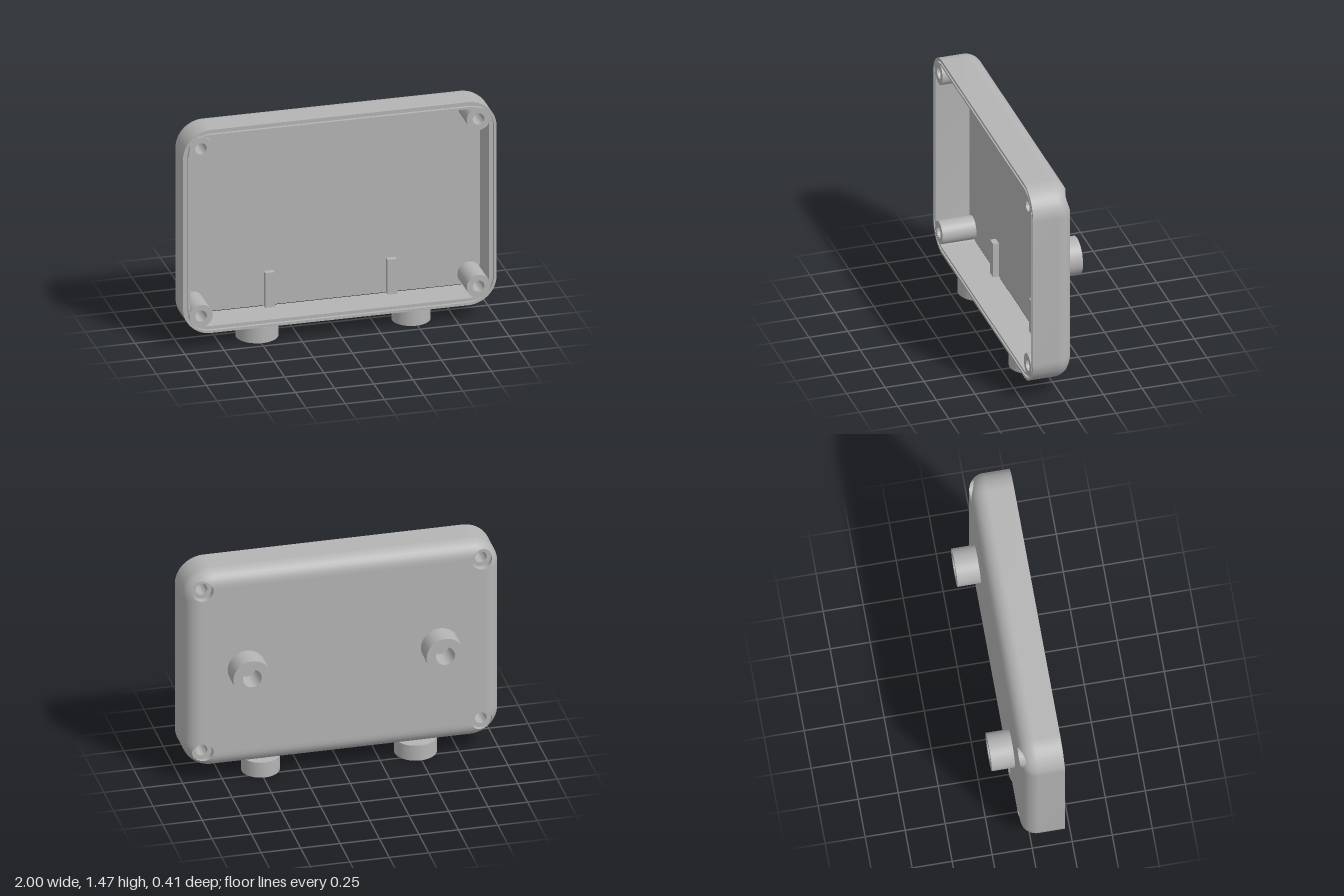
import * as THREE from 'three';
import { toCreasedNormals } from 'three/addons/utils/BufferGeometryUtils.js';

const W = 1, H = 0.68, R = 0.18;            // half width, half height, corner radius
const BACK = -0.06, RIM = 0.205, F = 0.1;   // back plane, rim plane, back edge fillet
const FLOOR = -0.015, BX = 0.885, BY = 0.56; // inner floor, screw boss centres
const PX = 0.78, PY = 0.455;                // where the corner patches begin
const N = 12;
const ease = i => Math.sin(Math.PI * i / (2 * N));

// point and normal of the filleted back skin at x, y
function skin(x, y) {
  const qx = Math.abs(x) - (W - R), qy = Math.abs(y) - (H - R);
  const ox = Math.max(qx, 0), oy = Math.max(qy, 0), len = Math.hypot(ox, oy);
  const inset = R - len - Math.min(Math.max(qx, qy), 0);
  const k = THREE.MathUtils.clamp((F - inset) / F, 0, 1), c = Math.sqrt(1 - k * k);
  const gx = len ? ox / len * Math.sign(x) : 0, gy = len ? oy / len * Math.sign(y) : 0;
  return [x, y, BACK + F * (1 - c), gx * k, gy * k, -c];
}

// grid surface; fn(i, j) gives position and normal, which also sets the winding
function grid(nu, nv, fn) {
  const pos = [], nor = [], index = [];
  for (let i = 0; i <= nu; i++) for (let j = 0; j <= nv; j++) {
    const p = fn(i, j);
    pos.push(p[0], p[1], p[2]);
    nor.push(p[3], p[4], p[5]);
  }
  const at = (arr, k) => new THREE.Vector3().fromArray(arr, k * 3);
  const tri = (a, b, c) => {
    const A = at(pos, a), n = at(pos, b).sub(A).cross(at(pos, c).sub(A));
    const m = at(nor, a).add(at(nor, b)).add(at(nor, c));
    if (n.dot(m) < 0) index.push(a, c, b); else index.push(a, b, c);
  };
  for (let i = 0; i < nu; i++) for (let j = 0; j < nv; j++) {
    const a = i * (nv + 1) + j, b = a + nv + 1;
    tri(a, b, b + 1);
    tri(a, b + 1, a + 1);
  }
  const g = new THREE.BufferGeometry();
  g.setAttribute('position', new THREE.Float32BufferAttribute(pos, 3));
  g.setAttribute('normal', new THREE.Float32BufferAttribute(nor, 3));
  g.setIndex(index);
  return g;
}

// rounded rectangle, shrunk by an inset
function outline(inset, Type) {
  const s = new Type(), w = W - inset, h = H - inset, r = R - inset, q = Math.PI / 2;
  s.absarc(w - r, h - r, r, 0, q);
  s.absarc(r - w, h - r, r, q, 2 * q);
  s.absarc(r - w, r - h, r, 2 * q, 3 * q);
  s.absarc(w - r, r - h, r, 3 * q, 4 * q);
  s.closePath();
  return s;
}

function ring(outer, inner, z0, z1) {
  const s = outline(outer, THREE.Shape);
  s.holes.push(outline(inner, THREE.Path));
  const g = new THREE.ExtrudeGeometry(s, { depth: z1 - z0, bevelEnabled: false, curveSegments: 16 });
  g.translate(0, 0, z0);
  return toCreasedNormals(g, 0.6);
}

function turned(points, tilt) {
  const g = new THREE.LatheGeometry(points.map(p => new THREE.Vector2(...p)), 40);
  g.rotateX(tilt);
  return toCreasedNormals(g, 0.6);
}

export function createModel() {
  const model = new THREE.Group();
  model.name = 'enclosureHalf';
  model.position.y = 0.785;
  const root = new THREE.Group();
  root.add(model);
  const grey = new THREE.MeshStandardMaterial({ color: 0xb4b4b4 });
  grey.name = 'grey';
  const add = (name, geometry, x = 0, y = 0, z = 0) => {
    const m = new THREE.Mesh(geometry, grey);
    m.name = name;
    m.position.set(x, y, z);
    model.add(m);
  };

  // side wall, with a groove around its rim
  add('outerWall', ring(0, 0.017, BACK + F, RIM));
  add('rimGroove', ring(0.015, 0.036, 0, RIM - 0.02));
  add('innerLip', ring(0.033, 0.047, FLOOR, RIM));

  // back: flat middle and four filleted edges
  add('backPanel', grid(1, 1, (i, j) => skin(PX * (2 * i - 1), PY * (2 * j - 1))));
  for (const s of [-1, 1]) {
    add('backSideEdge', grid(N, 1, (i, j) => skin(s * (PX + (W - PX) * ease(i)), PY * (2 * j - 1))));
    add('backLongEdge', grid(N, 1, (i, j) => skin(PX * (2 * j - 1), s * (PY + (H - PY) * ease(i)))));
  }

  // corner boundary for the patches around the screw recesses
  const edge = [];
  for (let i = 0; i <= N; i++) edge.push([PX + (W - PX) * ease(i), PY]);
  for (let i = 0; i <= 24; i++) {
    const a = Math.PI * i / 48;
    edge.push([W - R + R * Math.cos(a), H - R + R * Math.sin(a)]);
  }
  for (let i = N; i >= 0; i--) edge.push([PX, PY + (H - PY) * ease(i)]);

  // corners: filleted skin, recess and hollow boss
  const recess = 0.065;
  for (const sx of [-1, 1]) for (const sy of [-1, 1]) {
    const rim = j => {
      const dx = edge[j][0] - BX, dy = edge[j][1] - BY, l = Math.hypot(dx, dy);
      return [dx / l, dy / l];
    };
    add('backCorner', grid(N, edge.length - 1, (i, j) => {
      const [ux, uy] = rim(j), t = ease(i);
      const hx = BX + recess * ux, hy = BY + recess * uy;
      return skin(sx * (hx + (edge[j][0] - hx) * t), sy * (hy + (edge[j][1] - hy) * t));
    }));
    add('screwRecess', grid(1, edge.length - 1, (i, j) => {
      const [ux, uy] = rim(j);
      const p = skin(sx * (BX + recess * ux), sy * (BY + recess * uy));
      return [p[0], p[1], i ? FLOOR - 0.001 : p[2], -sx * ux, -sy * uy, 0];
    }));
    add('screwBoss', turned([[0.075, FLOOR], [0.075, 0.204], [0.037, 0.204],
      [0.037, FLOOR - 0.001], [recess, FLOOR - 0.001]], Math.PI / 2), sx * BX, sy * BY);
  }

  // inner floor, cut away around the bosses
  const floor = new THREE.Shape();
  [[1, 1], [-1, 1], [-1, -1], [1, -1]].forEach(([sx, sy], k) => {
    const a = k * Math.PI / 2;
    floor.absarc(sx * BX, sy * BY, 0.07, a, a - 1.5 * Math.PI, true);
  });
  floor.closePath();
  add('innerFloor', new THREE.ShapeGeometry(floor, 24), 0, 0, FLOOR);

  // two small upright ribs inside
  for (const x of [-0.395, 0.385]) add('innerRib', new THREE.BoxGeometry(0.06, 0.24, 0.05), x, -0.52, -0.003);

  // hollow posts on the back
  for (const x of [-0.615, 0.61]) {
    add('backPost', turned([[0.12, 0.05], [0.12, 0.205], [0.06, 0.205], [0.06, 0.055]], -Math.PI / 2), x, 0, 0);
  }

  // round feet with short necks below
  for (const [x, r] of [[-0.4925, 0.1325], [0.49, 0.12]]) {
    add('foot', new THREE.CylinderGeometry(r, r, 0.104, 48), x, -0.733, 0.0725);
    add('footNeck', new THREE.CylinderGeometry(0.06, 0.06, 0.04, 32), x, -0.67, 0.0725);
  }
  return root;
}
